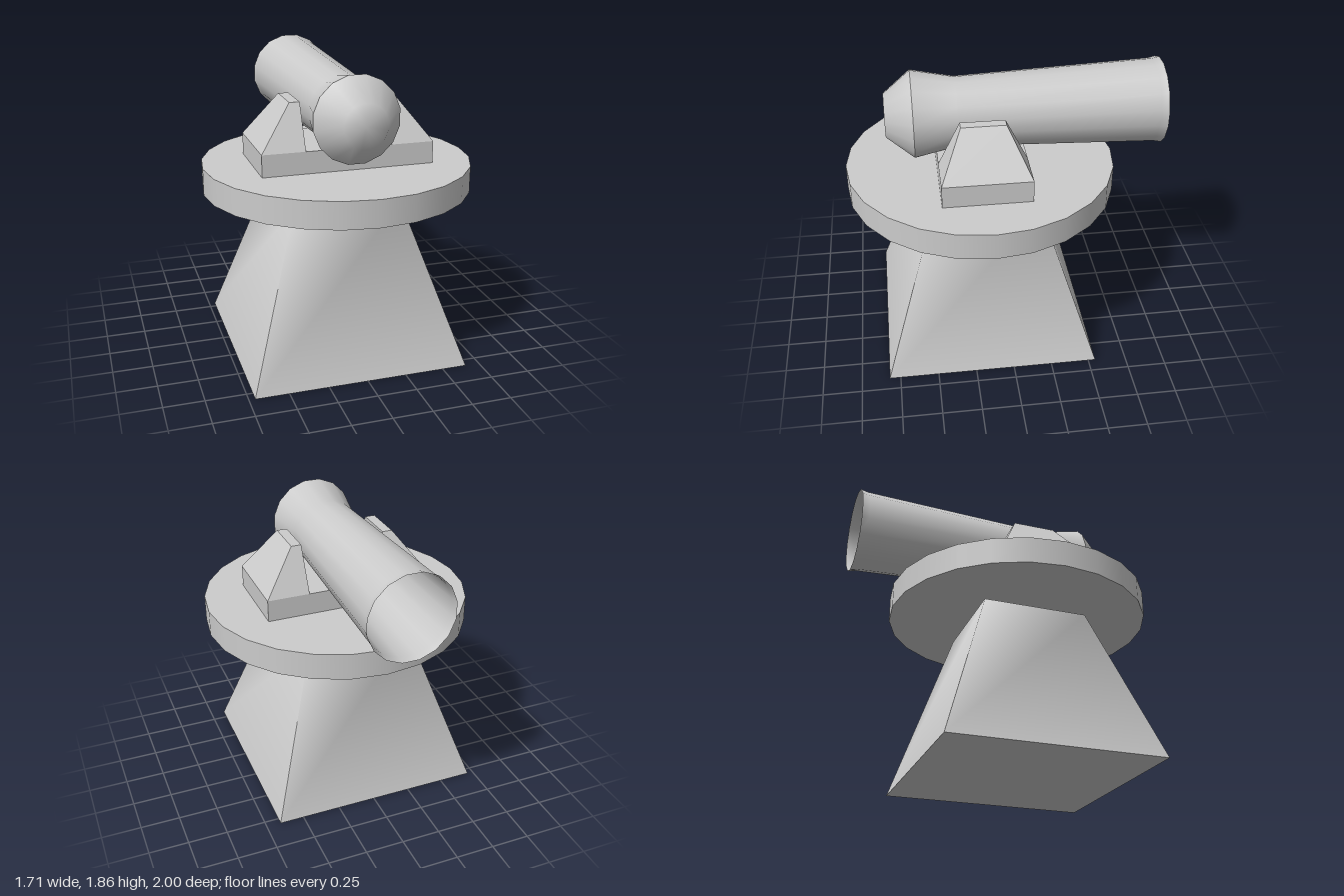
import * as THREE from 'three';

const material = new THREE.MeshStandardMaterial({ color: 0xcccccc });
const openMaterial = new THREE.MeshStandardMaterial({ color: 0xcccccc, side: THREE.DoubleSide });

function addMesh(parent, name, geometry, x, y, z, mat = material) {
  const mesh = new THREE.Mesh(geometry, mat);
  mesh.name = name;
  mesh.position.set(x, y, z);
  parent.add(mesh);
  return mesh;
}

// Square frustum: corners crisp at the foot, softened towards the top
function pedestalGeometry(topHalf, bottomHalf, height) {
  const geometry = new THREE.CylinderGeometry(
    topHalf * Math.SQRT2, bottomHalf * Math.SQRT2, height, 4, 1, false, Math.PI / 4).toNonIndexed();
  const soft = geometry.attributes.normal.clone();
  geometry.computeVertexNormals();
  const { position, normal } = geometry.attributes;
  for (let i = 0; i < position.count; i++) {
    if (position.getY(i) > 0) normal.setXYZ(i, soft.getX(i), soft.getY(i), soft.getZ(i));
  }
  return geometry;
}

// Tapered block with an upright inner face on the side nearest the barrel
function cheekGeometry(side) {
  const inner = 0.275, outerBottom = 0.548, outerTop = 0.34, height = 0.275;
  const geometry = new THREE.BoxGeometry(2, 2, 2).toNonIndexed();
  const p = geometry.attributes.position;
  for (let i = 0; i < p.count; i++) {
    const top = p.getY(i) > 0;
    const outer = p.getX(i) * side > 0;
    const x = side * (outer ? (top ? outerTop : outerBottom) : inner);
    p.setXYZ(i, x, top ? height : 0, p.getZ(i) * (top ? 0.1375 : 0.275));
  }
  geometry.computeVertexNormals();
  return geometry;
}

// Turned section along z from [radius, z] pairs, flat side up
function turned(profile) {
  const sides = 16;
  const points = profile.map(([r, z]) => new THREE.Vector2(r / Math.cos(Math.PI / sides), z));
  return new THREE.LatheGeometry(points, sides, Math.PI / sides).rotateX(Math.PI / 2);
}

export function createModel() {
  const model = new THREE.Group();
  model.name = 'cannonTurret';

  // Support
  addMesh(model, 'pedestal', pedestalGeometry(0.343, 0.684, 1.035), -0.027, 0.5175, 0.137);
  addMesh(model, 'turntable', new THREE.CylinderGeometry(0.857, 0.857, 0.17, 24), 0, 1.16, 0.142);

  // Cradle with two mirrored cheeks
  const cradle = new THREE.Group();
  cradle.name = 'cradle';
  cradle.position.set(0, 1.245, 0.15);
  model.add(cradle);
  addMesh(cradle, 'cradleBase', new THREE.BoxGeometry(1.096, 0.14, 0.55), 0, 0.07, 0);
  for (const side of [1, -1]) {
    addMesh(cradle, side > 0 ? 'leftCheek' : 'rightCheek', cheekGeometry(side), 0, 0.14, 0);
  }

  // Barrel: open muzzle at the back, softly shaded breech at the front
  const barrel = new THREE.Group();
  barrel.name = 'barrel';
  barrel.position.y = 1.592;
  model.add(barrel);
  addMesh(barrel, 'barrelTube',
    turned([[0.269, -1], [0.259, -0.95], [0.215, 0.29], [0.269, 0.56]]), 0, 0, 0, openMaterial);
  addMesh(barrel, 'breech', turned([[0.269, 0.56], [0.135, 0.73], [0, 0.73]]), 0, 0, 0, openMaterial);

  return model;
}
